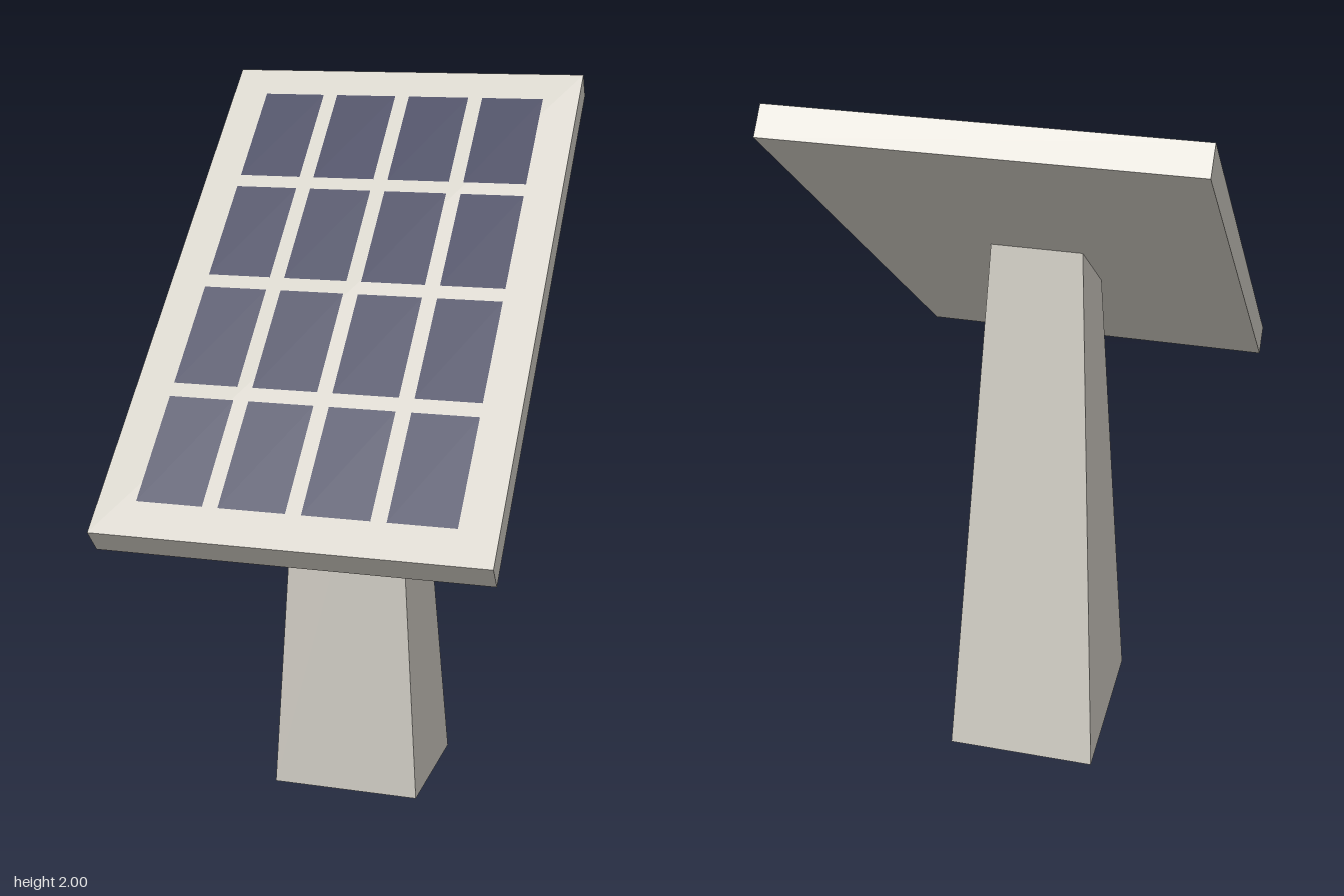
import * as THREE from 'three';

const frameMaterial = new THREE.MeshStandardMaterial({ color: 0xd3cfc6, flatShading: true });
const cellMaterial = new THREE.MeshStandardMaterial({ color: 0x3a3c58, flatShading: true });

// Tapered leaning post: a box whose four profile edges are moved into place
function createPost() {
  const edges = {
    bottomFront: [0.207, 0.04, 0.105],
    bottomBack: [0.207, 0, -0.33],
    topFront: [0.127, 1.36, 0.074],
    topBack: [0.119, 1.52, -0.117],
  };
  const geometry = new THREE.BoxGeometry(1, 1, 1);
  const p = geometry.attributes.position;
  for (let i = 0; i < p.count; i++) {
    const key = (p.getY(i) > 0 ? 'top' : 'bottom') + (p.getZ(i) > 0 ? 'Front' : 'Back');
    const [halfWidth, y, z] = edges[key];
    p.setXYZ(i, Math.sign(p.getX(i)) * halfWidth, y, z);
  }
  geometry.computeVertexNormals();
  const post = new THREE.Mesh(geometry, frameMaterial);
  post.name = 'post';
  return post;
}

// Tilted slab with a 4 x 4 grid of cells lying on its upper face
function createPanel() {
  const width = 1.02, thickness = 0.08, length = 1.632;
  const panel = new THREE.Group();
  panel.name = 'panel';

  const slab = new THREE.Mesh(new THREE.BoxGeometry(width, thickness, length), frameMaterial);
  slab.name = 'panelFrame';
  panel.add(slab);

  const cellGeometry = new THREE.PlaneGeometry(0.174, 0.325).rotateX(-Math.PI / 2);
  for (let row = 0; row < 4; row++) {
    for (let col = 0; col < 4; col++) {
      const cell = new THREE.Mesh(cellGeometry, cellMaterial);
      cell.name = 'solarCell';
      cell.position.set((col - 1.5) * 0.2145, thickness / 2 + 0.002, (row - 1.5) * 0.368);
      panel.add(cell);
    }
  }

  panel.position.y = 1.445;
  panel.rotation.x = THREE.MathUtils.degToRad(40);
  return panel;
}

export function createModel() {
  const model = new THREE.Group();
  model.name = 'solarPanel';
  model.add(createPost(), createPanel());
  return model;
}
